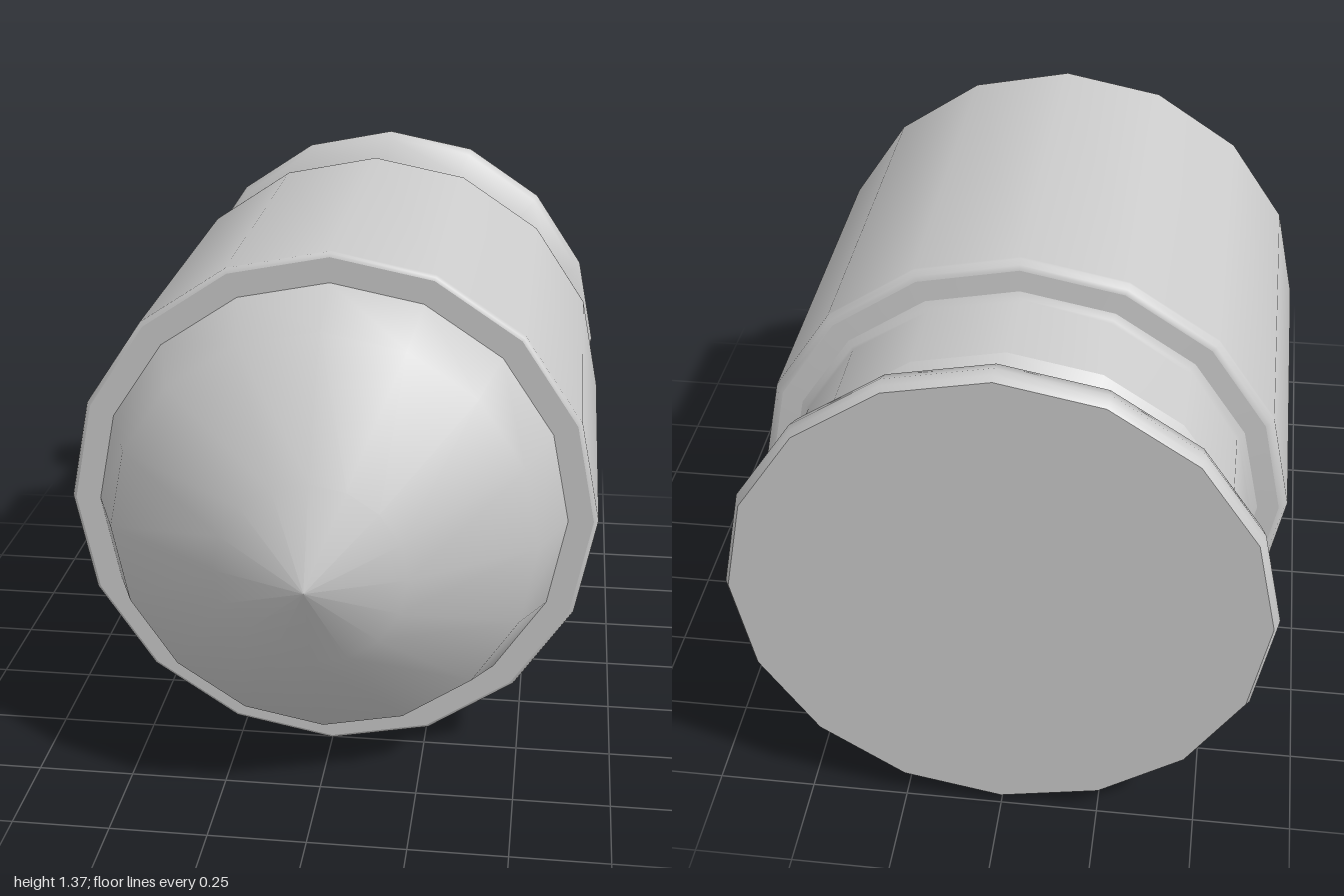
import * as THREE from 'three';

const SIDES = 16;
const RADIUS = 0.687;

export function createModel() {
  const group = new THREE.Group();
  const material = new THREE.MeshStandardMaterial({ color: 0xcccccc });

  // Turns a [radius, z] profile, listed from back to front, around the z axis
  function turned(name, profile) {
    const points = profile.map(([r, z]) => new THREE.Vector2(r, z));
    const geometry = new THREE.LatheGeometry(points, SIDES);
    geometry.rotateX(Math.PI / 2);
    const mesh = new THREE.Mesh(geometry, material);
    mesh.name = name;
    mesh.position.y = RADIUS;
    group.add(mesh);
  }

  // Flat disc closing the back
  turned('backPlate', [[0, -1], [0.66, -1]]);

  // Flared rim with a rounded edge, running into the groove
  turned('flaredRim', [
    [0.66, -1], [0.67, -0.985], [0.674, -0.965], [0.662, -0.93],
    [0.6, -0.895], [0.565, -0.877], [0.553, -0.86], [0.555, -0.835],
    [0.565, -0.82], [0.59, -0.78],
  ]);

  // Straight neck between groove and body
  turned('neck', [[0.59, -0.78], [0.59, -0.565], [0.595, -0.558], [0.61, -0.548]]);

  // Main barrel: shoulder, bevelled edges and front ledge
  turned('bodyShoulder', [[0.61, -0.548], [0.665, -0.543]]);
  turned('body', [
    [0.665, -0.543], [0.678, -0.538], [RADIUS, -0.522], [RADIUS, -0.515],
    [RADIUS, 0.497], [RADIUS, 0.502], [0.683, 0.51], [0.675, 0.514],
  ]);
  turned('bodyLedge', [[0.675, 0.514], [0.61, 0.514]]);

  // Domed nose
  turned('nose', [[0.61, 0.514], [0.54, 0.685], [0.236, 0.9], [0, 1]]);

  return group;
}
